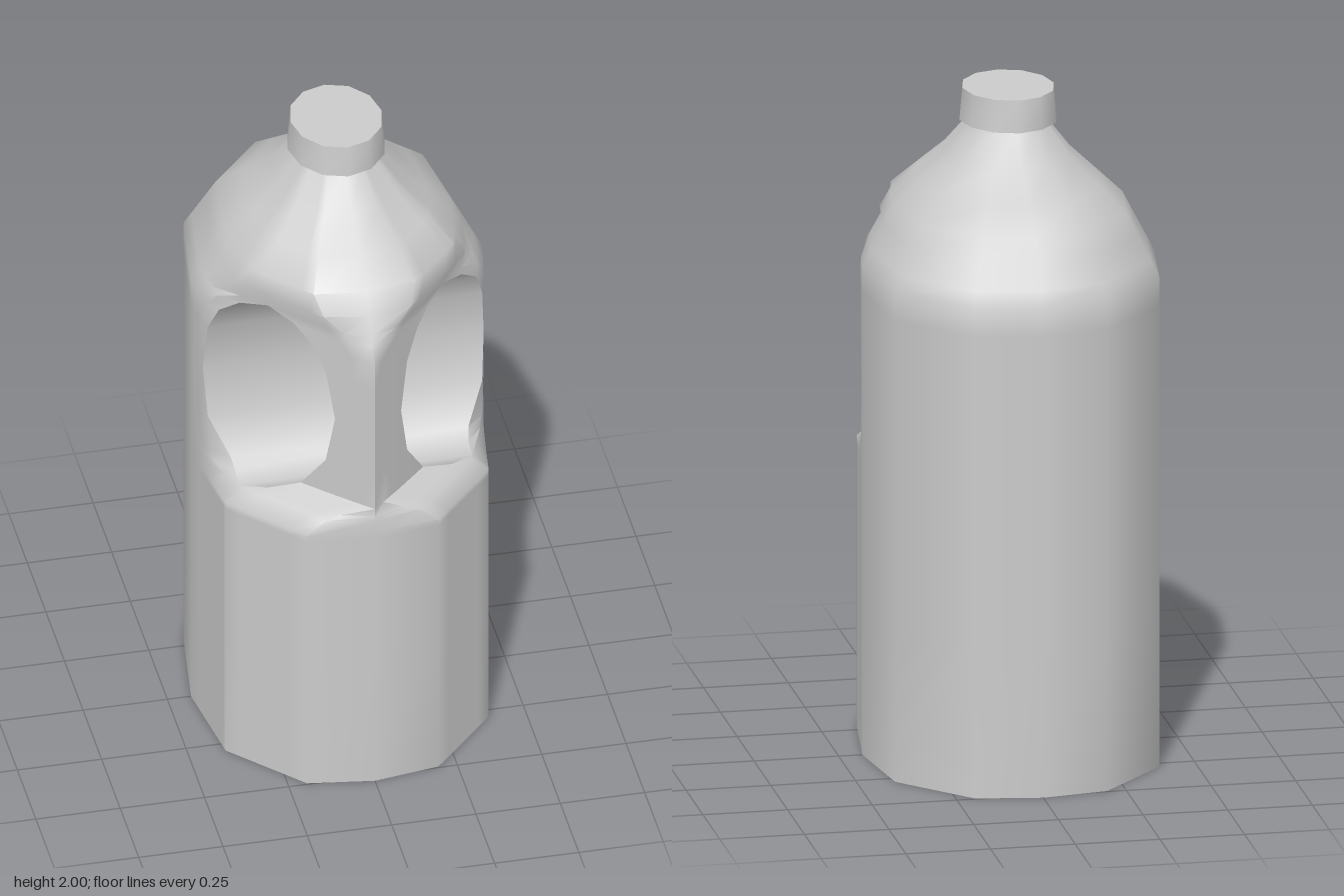
import * as THREE from 'three';
import { toCreasedNormals } from 'three/addons/utils/BufferGeometryUtils.js';

// Piecewise linear lookup in ascending [key, value] pairs
function lookup(points, k) {
  if (k <= points[0][0]) return points[0][1];
  for (let i = 1; i < points.length; i++) {
    const [k0, v0] = points[i - 1], [k1, v1] = points[i];
    if (k <= k1) return v0 + (v1 - v0) * (k - k0) / (k1 - k0);
  }
  return points[points.length - 1][1];
}

// Plan of the jug: half width by depth
const HULL = [[-0.525, 0], [-0.495, 0.195], [-0.285, 0.39], [0, 0.43], [0.285, 0.39], [0.495, 0.195], [0.525, 0]];
// Pinched plan around the grip
const PINCH = [[0.1, 0.415], [0.15, 0.395], [0.22, 0.3], [0.33, 0.2], [0.43, 0.1], [0.525, 0]];
// Overall scale and pinch amount by height
const SCALE = [[1.48, 1], [1.66, 0.785], [1.81, 0.42], [1.905, 0.25]];
const PINCH_AMOUNT = [[0.88, 0], [0.925, 0.35], [0.965, 1], [1.55, 1], [1.68, 0]];
// Elliptical grip hole
const HOLE = { y: 1.238, z: 0.265, ry: 0.313, rz: 0.167 };
const HOLE_ROWS = [HOLE.y - HOLE.ry, 0.94, 0.967, 1.08, 1.238, 1.395, 1.48, 1.525, HOLE.y + HOLE.ry];
const ROWS = [0, 0.45, 0.86, 0.88, ...HOLE_ROWS, 1.6, 1.66, 1.73, 1.81, 1.905];

function skinPoint(y, z) {
  const s = lookup(SCALE, y);
  const full = s * lookup(HULL, z / s);
  const pinched = z < 0.1 ? full : Math.min(full, lookup(PINCH, z));
  return new THREE.Vector3(THREE.MathUtils.lerp(full, pinched, lookup(PINCH_AMOUNT, y)), y, z);
}

// Front (+1) or back (-1) edge of the hole; both meet in a seam above and below it
function holeEdge(y, side) {
  const top = HOLE.y + HOLE.ry;
  const seam = y > top ? HOLE.z * lookup(SCALE, y) / lookup(SCALE, top) : HOLE.z;
  const k = (y - HOLE.y) / HOLE.ry;
  return seam + side * HOLE.rz * Math.sqrt(Math.max(0, 1 - k * k));
}

function frontRow(y) {
  const s = lookup(SCALE, y), edge = holeEdge(y, 1);
  const corner = Math.max(edge, 0.285 * s);
  const zs = [0.525 * s];
  for (let i = 0; i <= 5; i++) zs.push(THREE.MathUtils.lerp(0.495 * s, corner, i / 5));
  zs.push(edge);
  return zs.map(z => skinPoint(y, z));
}

function backRow(y) {
  const s = lookup(SCALE, y), edge = holeEdge(y, -1);
  const zs = [];
  for (let i = 0; i <= 4; i++) zs.push(edge * (1 - i / 4));
  zs.push(-0.285 * s, -0.495 * s, -0.525 * s);
  return zs.map(z => skinPoint(y, z));
}

const mirrored = p => new THREE.Vector3(-p.x, p.y, p.z);

function addTriangle(out, a, b, c) {
  const area = b.clone().sub(a).cross(c.clone().sub(a)).length();
  if (area > 1e-9) for (const p of [a, b, c]) out.push(p.x, p.y, p.z);
}

function addGrid(out, rows) {
  for (let i = 0; i < rows.length - 1; i++) {
    for (let j = 0; j < rows[i].length - 1; j++) {
      const a = rows[i][j], b = rows[i][j + 1], c = rows[i + 1][j + 1], d = rows[i + 1][j];
      addTriangle(out, a, b, c);
      addTriangle(out, a, c, d);
    }
  }
}

function toGeometry(positions, crease) {
  const g = new THREE.BufferGeometry();
  g.setAttribute('position', new THREE.Float32BufferAttribute(positions, 3));
  return toCreasedNormals(g, crease);
}

export function createModel() {
  const group = new THREE.Group();
  const material = new THREE.MeshStandardMaterial({ color: 0xcccccc });
  const add = (name, geometry) => {
    const mesh = new THREE.Mesh(geometry, material);
    mesh.name = name;
    group.add(mesh);
    return mesh;
  };

  // Body walls with pinched grip, mirrored left to right
  const body = [];
  for (const makeRow of [frontRow, backRow]) {
    const rows = ROWS.map(makeRow);
    addGrid(body, rows);
    addGrid(body, rows.map(row => row.map(mirrored).reverse()));
  }

  // Slightly dished underside
  const half = [...frontRow(0), ...backRow(0)];
  const centre = new THREE.Vector3(0, 0.04, 0);
  for (let i = 0; i < half.length - 1; i++) {
    addTriangle(body, centre, half[i + 1], half[i]);
    addTriangle(body, centre, mirrored(half[i]), mirrored(half[i + 1]));
  }
  add('body', toGeometry(body, 0.9));

  // Tunnel through the jug behind the handle
  const rim = [
    ...HOLE_ROWS.map(y => skinPoint(y, holeEdge(y, 1))),
    ...[...HOLE_ROWS].reverse().map(y => skinPoint(y, holeEdge(y, -1))),
  ];
  const tunnel = [];
  addGrid(tunnel, rim.map(p => [p, mirrored(p)]));
  add('handleOpening', toGeometry(tunnel, 0.9));

  // Oval screw cap
  const capShape = new THREE.CylinderGeometry(0.16, 0.17, 0.096, 12);
  capShape.scale(0.845, 1, 1);
  const cap = add('cap', toCreasedNormals(capShape, 0.7));
  cap.position.y = 1.952;

  return group;
}
